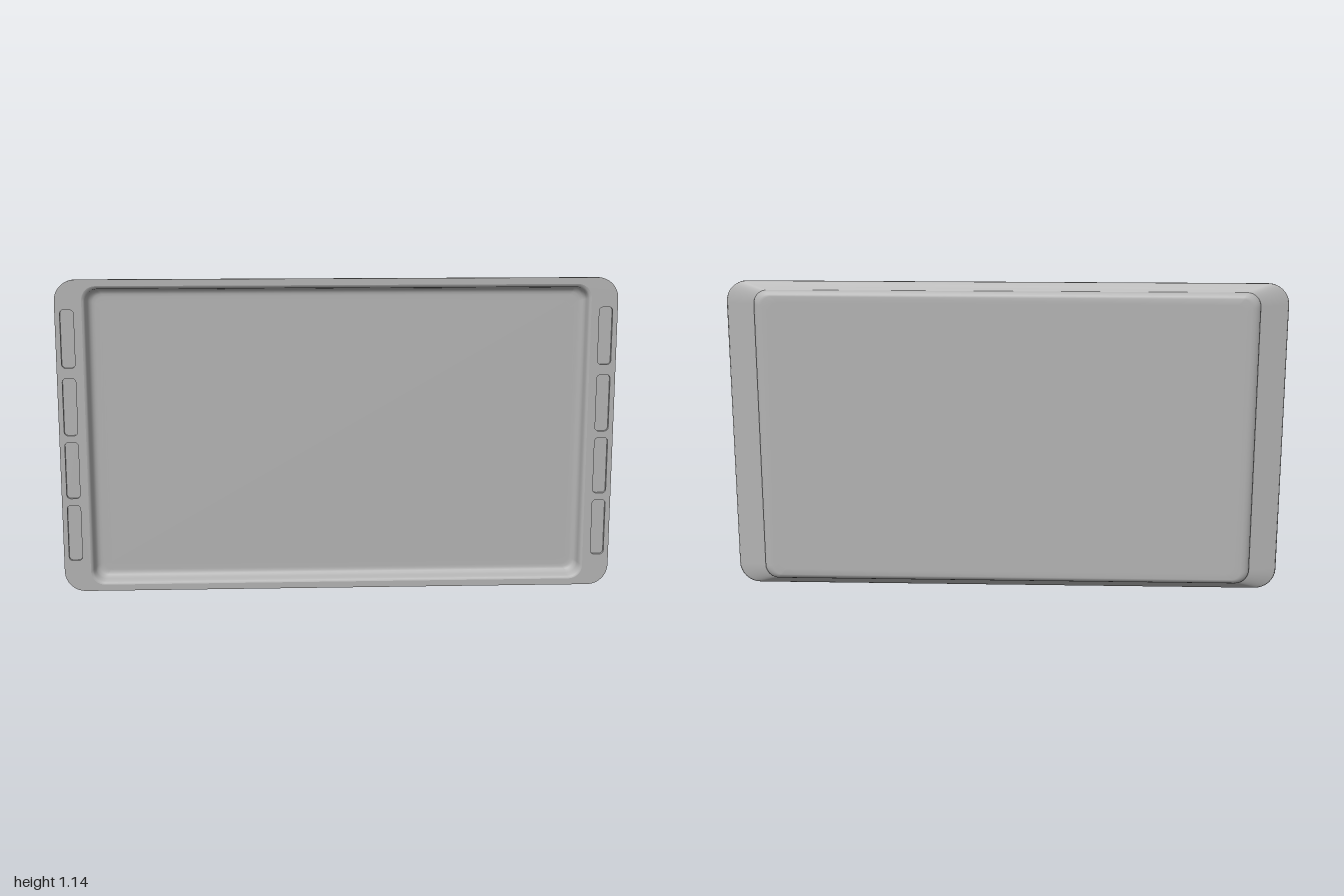
import * as THREE from 'three';

const MID = 0.57; // height of the tray centre
const metal = new THREE.MeshStandardMaterial({ color: 0xb4b4b4 });
metal.name = 'grey';

// Rounded rectangle, counter-clockwise seen from the front
function loop(hw, hh, r, cx = 0, cy = MID, steps = 8) {
  const pts = [];
  for (let q = 0; q < 4; q++) {
    const sx = q === 0 || q === 3 ? 1 : -1, sy = q < 2 ? 1 : -1;
    for (let i = 0; i <= steps; i++) {
      const a = (q + i / steps) * Math.PI / 2;
      pts.push(new THREE.Vector2(cx + sx * (hw - r) + r * Math.cos(a), cy + sy * (hh - r) + r * Math.sin(a)));
    }
  }
  return pts;
}

// Smooth skin through rows of [halfWidth, halfHeight, radius, z]
function skin(rows, cx = 0, cy = MID) {
  const pos = [], idx = [];
  let n = 0;
  for (const [hw, hh, r, z] of rows) {
    const pts = loop(hw, hh, r, cx, cy);
    n = pts.length;
    pts.forEach(p => pos.push(p.x, p.y, z));
  }
  for (let i = 0; i < rows.length - 1; i++) {
    for (let j = 0; j < n; j++) {
      const a = i * n + j, b = i * n + (j + 1) % n;
      idx.push(a, b, a + n, b, b + n, a + n);
    }
  }
  const g = new THREE.BufferGeometry();
  g.setAttribute('position', new THREE.Float32BufferAttribute(pos, 3));
  g.setIndex(idx);
  g.computeVertexNormals();
  return g;
}

// Flat face with optional holes, facing front or back
function face(pts, z, holes = [], back = false) {
  const s = new THREE.Shape(pts);
  s.holes = holes.map(h => new THREE.Path(h));
  const g = new THREE.ShapeGeometry(s);
  if (back) {
    g.scale(-1, 1, 1);
    g.rotateY(Math.PI);
  }
  if (back) {
    // the mirrored turn keeps the outline and needs reversed corners
    const ix = g.index.array;
    for (let i = 0; i < ix.length; i += 3) [ix[i], ix[i + 1]] = [ix[i + 1], ix[i]];
    g.computeVertexNormals();
  }
  return g.translate(0, 0, z);
}

export function createModel() {
  const tray = new THREE.Group();
  tray.name = 'tray';
  const add = (name, geometry) => {
    const m = new THREE.Mesh(geometry, metal);
    m.name = name;
    tray.add(m);
  };

  // Four shallow grip slots down each side
  const slots = [];
  for (const x of [-0.958, 0.958]) {
    for (const y of [0.22, 0.453, 0.685, 0.93]) slots.push([x, y]);
  }
  const W = 0.024, H = 0.104, R = 0.014, slotZ = 0.019;
  const slotLoops = slots.map(([x, y]) => loop(W, H, R, x, y));

  // Front rim
  add('frontRim', face(loop(1, 0.57, 0.075), 0.03, [loop(0.905, 0.547, 0.05), ...slotLoops]));
  slots.forEach(([x, y], i) => {
    add('slotWall', skin([[W, H, R, 0.03], [W, H, R, slotZ]], x, y));
    add('slotFloor', face(slotLoops[i], slotZ));
  });

  // Inner wall, rounded at the lip and at the floor
  add('innerWall', skin([
    [0.905, 0.547, 0.05, 0.03], [0.899, 0.541, 0.047, 0.028], [0.894, 0.536, 0.045, 0.022],
    [0.891, 0.533, 0.043, 0.004], [0.888, 0.53, 0.041, -0.008], [0.881, 0.523, 0.037, -0.016],
    [0.872, 0.514, 0.032, -0.0195], [0.862, 0.504, 0.03, -0.02], [0.84, 0.482, 0.03, -0.02],
  ]));
  add('floor', face(loop(0.84, 0.482, 0.03), -0.02));

  // Back of the pan with a rounded edge
  add('panBack', face(loop(0.84, 0.5, 0.03), -0.03, [], true));
  add('panSide', skin([
    [0.84, 0.5, 0.03, -0.03], [0.865, 0.522, 0.032, -0.03], [0.878, 0.529, 0.04, -0.027],
    [0.888, 0.536, 0.045, -0.022], [0.896, 0.541, 0.05, -0.014], [0.898, 0.542, 0.05, -0.006],
  ]));

  // Sloped underside of the rim and its thin outer edge
  add('rimBack', skin([[0.898, 0.542, 0.05, -0.006], [0.94, 0.552, 0.06, 0.004], [0.996, 0.567, 0.073, 0.017]]));
  add('rimEdge', skin([[0.996, 0.567, 0.073, 0.017], [1, 0.57, 0.075, 0.02], [1, 0.57, 0.075, 0.03]]));
  return tray;
}
